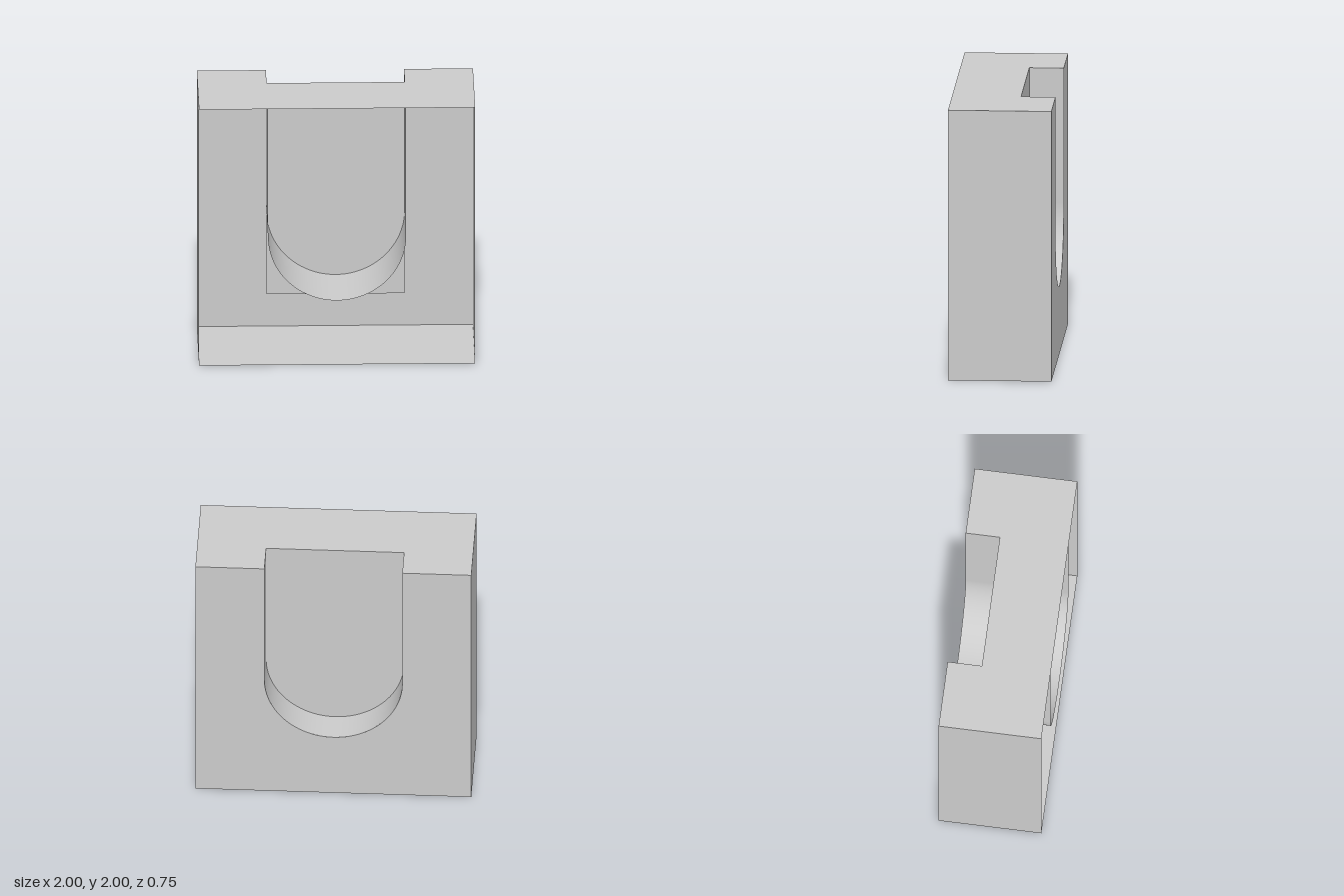
import * as THREE from 'three';

const W = 2, H = 2, D = 0.75;      // overall size
const R = 0.5, CY = 1;             // U slot radius and arc centre height
const PLATE_Z = -0.125;            // inner plate position
const PLATE_BOTTOM = 0.35;

export function createModel() {
  const group = new THREE.Group();
  const material = new THREE.MeshStandardMaterial({ color: 0xcccccc, side: THREE.DoubleSide });
  const add = (name, geometry, x = 0, y = 0, z = 0) => {
    const mesh = new THREE.Mesh(geometry, material);
    mesh.name = name;
    mesh.position.set(x, y, z);
    group.add(mesh);
  };

  // Thin outer shell, open at the front
  add('floor', new THREE.PlaneGeometry(W, D).rotateX(Math.PI / 2));
  for (const [name, s] of [['leftWall', 1], ['rightWall', -1]]) {
    add(name, new THREE.PlaneGeometry(D, H).rotateY(s * Math.PI / 2), s * W / 2, H / 2);
  }

  // Back wall with the U slot cut down from its top edge
  const back = new THREE.Shape();
  back.moveTo(-W / 2, 0);
  back.lineTo(W / 2, 0);
  back.lineTo(W / 2, H);
  back.lineTo(R, H);
  back.lineTo(R, CY);
  back.absarc(0, CY, R, 0, -Math.PI, true);
  back.lineTo(-R, H);
  back.lineTo(-W / 2, H);
  // The half turn keeps the outer face towards the rear
  add('backWall', new THREE.ShapeGeometry(back, 48).rotateY(Math.PI), 0, 0, -D / 2);

  // Top with a notch over the slot at the rear
  const top = new THREE.Shape([
    [-W / 2, -D / 2], [W / 2, -D / 2], [W / 2, D / 2], [R, D / 2],
    [R, -PLATE_Z], [-R, -PLATE_Z], [-R, D / 2], [-W / 2, D / 2],
  ].map(([x, y]) => new THREE.Vector2(x, y)));
  add('top', new THREE.ShapeGeometry(top).rotateX(-Math.PI / 2), 0, H);

  // U channel running through the whole depth
  for (const [name, s] of [['channelLeftSide', 1], ['channelRightSide', -1]]) {
    add(name, new THREE.PlaneGeometry(D, H - CY).rotateY(s * Math.PI / 2), s * R, (H + CY) / 2);
  }
  const curve = new THREE.CylinderGeometry(R, R, D, 48, 1, true, -Math.PI / 2, Math.PI);
  add('channelCurve', curve.rotateX(Math.PI / 2), 0, CY);

  // Rectangular plate closing the channel inside
  add('innerPlate', new THREE.PlaneGeometry(2 * R, H - PLATE_BOTTOM), 0, (H + PLATE_BOTTOM) / 2, PLATE_Z);

  return group;
}
